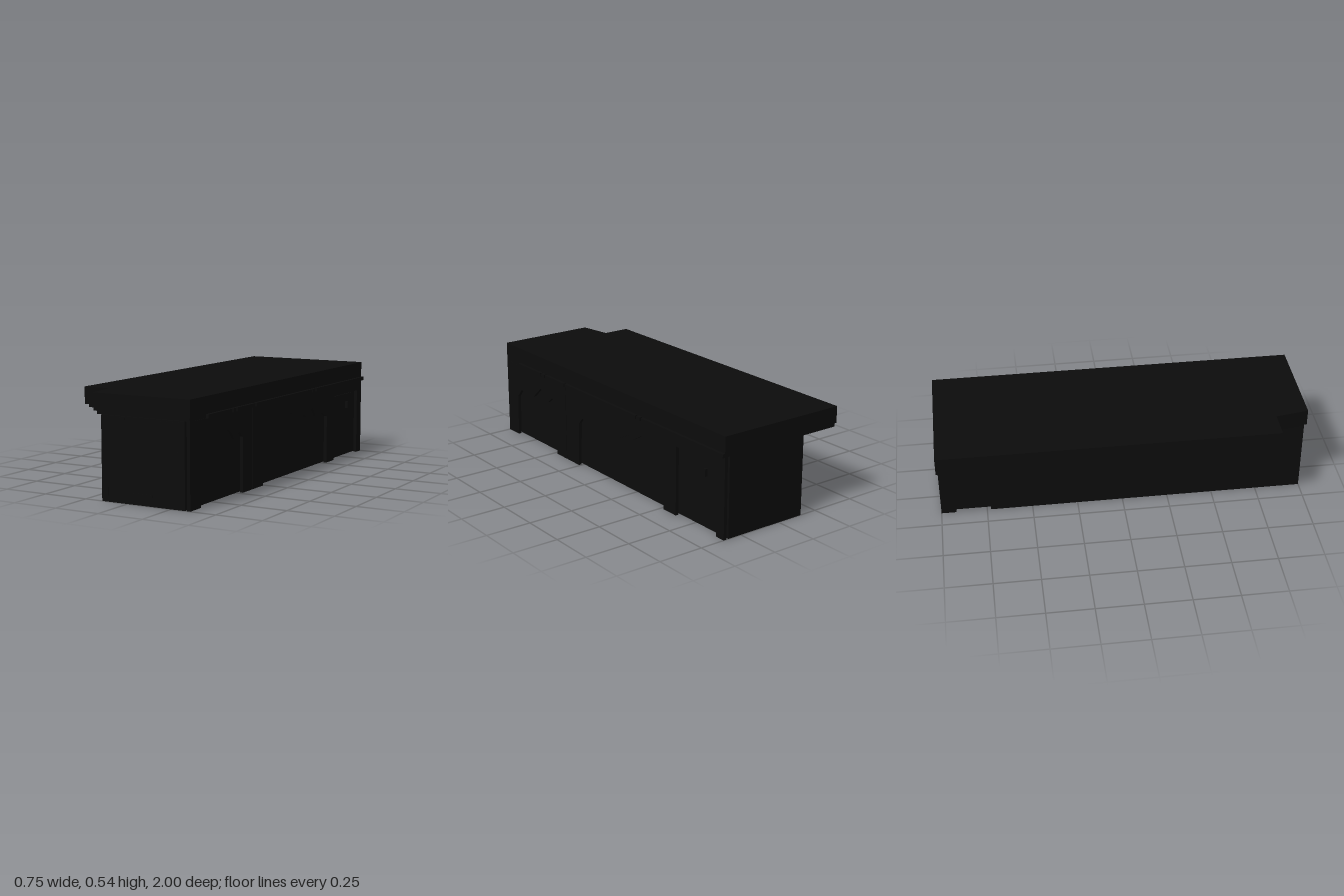
import * as THREE from 'three';

export function createModel() {
  const root = new THREE.Group();
  const black = new THREE.MeshStandardMaterial({ color: 0x0c0c0c });
  black.name = 'black lacquer';

  function add(name, geometry) {
    const mesh = new THREE.Mesh(geometry, black);
    mesh.name = name;
    root.add(mesh);
    return mesh;
  }
  // Box given by its limits on each axis
  function box(name, x0, x1, y0, y1, z0, z1) {
    const g = new THREE.BoxGeometry(x1 - x0, y1 - y0, z1 - z0);
    g.translate((x0 + x1) / 2, (y0 + y1) / 2, (z0 + z1) / 2);
    return add(name, g);
  }
  // Horizontal slab from an outline of [x, z] points
  function slab(name, outline, y0, y1) {
    const shape = new THREE.Shape(outline.map(([x, z]) => new THREE.Vector2(x, -z)));
    const g = new THREE.ExtrudeGeometry(shape, { depth: y1 - y0, bevelEnabled: false });
    g.rotateX(-Math.PI / 2).translate(0, y0, 0);
    return add(name, g);
  }
  // Upright wall along z from an outline of [z, y] points, with holes
  function wall(name, outline, holes, x0, x1) {
    const to2 = (pts) => pts.map(([z, y]) => new THREE.Vector2(-z, y));
    const shape = new THREE.Shape(to2(outline));
    shape.holes = holes.map((h) => new THREE.Path(to2(h)));
    const g = new THREE.ExtrudeGeometry(shape, { depth: x1 - x0, bevelEnabled: false });
    g.rotateY(Math.PI / 2).translate(x0, 0, 0);
    return add(name, g);
  }
  const rect = (z0, z1, y0, y1) => [[z0, y0], [z1, y0], [z1, y1], [z0, y1]];

  // Countertop with its cut corner, and the lip under it
  slab('countertop', [[-0.376, -1], [-0.376, 0.82], [-0.225, 0.82], [-0.195, 1], [0.36, 1], [0.36, -1]], 0.45, 0.54);
  slab('countertopLip', [[-0.362, -1], [-0.362, 0.805], [-0.212, 0.805], [-0.18, 0.99], [0.345, 0.99], [0.345, -1]], 0.433, 0.45);

  // Cabinet, hollow underneath in the middle
  box('cabinetCore', -0.12, 0.33, 0.05, 0.433, -1, 1);
  box('frontBase', -0.12, 0.33, 0, 0.05, 0.65, 1);
  box('backBase', -0.12, 0.33, 0, 0.05, -1, -0.65);
  box('skirt', 0.31, 0.33, 0, 0.05, -0.65, 0.65);

  // Serving-side wall with recessed panels and a notch at the floor
  wall('recessedWall',
    [[-1, 0], [-0.92, 0], [-0.92, 0.02], [-0.73, 0.02], [-0.73, 0], [1, 0], [1, 0.433], [-1, 0.433]],
    [rect(-0.5, 0.256, 0.12, 0.37), rect(0.51, 0.9, 0.12, 0.37)],
    -0.15, -0.12);

  // Decorative outer panels, with jagged openings between the posts
  wall('frontOuterPanel', [
    [1, 0], [0.9, 0], [0.89, 0.24], [0.85, 0.287], [0.72, 0.28], [0.64, 0.35], [0.6, 0.33],
    [0.566, 0.288], [0.52, 0.325], [0.48, 0.29], [0.48, 0], [0.382, 0], [0.382, 0.433], [1, 0.433],
  ], [], 0.342, 0.36);
  wall('rearOuterPanel', [
    [0.378, 0], [0.26, 0], [0.25, 0.25], [0.22, 0.285], [0.1, 0.285], [-0.05, 0.35], [-0.09, 0.335],
    [-0.13, 0.275], [-0.22, 0.32], [-0.25, 0.3], [-0.33, 0.345], [-0.38, 0.285], [-0.45, 0.3],
    [-0.52, 0.27], [-0.52, 0], [-0.62, 0], [-0.62, 0.375], [-0.94, 0.375], [-0.94, 0],
    [-1, 0], [-1, 0.433], [0.378, 0.433],
  ], [], 0.342, 0.36);

  // Door in the last opening
  box('door', 0.328, 0.336, 0.06, 0.365, -0.92, -0.64);
  box('doorHandle', 0.334, 0.35, 0.28, 0.32, -0.84, -0.825);

  // Foot rail moulding in sections
  [[-1, -0.345], [-0.335, -0.305], [-0.295, 0.365], [0.375, 0.565], [0.575, 0.605], [0.615, 0.85]]
    .forEach(([z0, z1]) => box('railMoulding', 0.33, 0.375, 0.432, 0.452, z0, z1));
  box('railBacking', 0.33, 0.359, 0.433, 0.4505, -1, 1);

  // Thin trim on the front end
  const cx = 0.09;
  for (const s of [-1, 1]) {
    const strip = (name, a, b, y0, y1) =>
      box(name, cx + Math.min(s * a, s * b), cx + Math.max(s * a, s * b), y0, y1, 0.996, 1.001);
    strip('frontTrimStrip', 0.187, 0.2, 0.17, 0.28);
    strip('frontCornerPlate', 0.2, 0.222, 0.01, 0.11);
    strip('frontTopPlate', 0.1, 0.22, 0.415, 0.425);
  }
  box('frontVent', 0.035, 0.145, 0.045, 0.058, 0.996, 1.001);

  return root;
}
